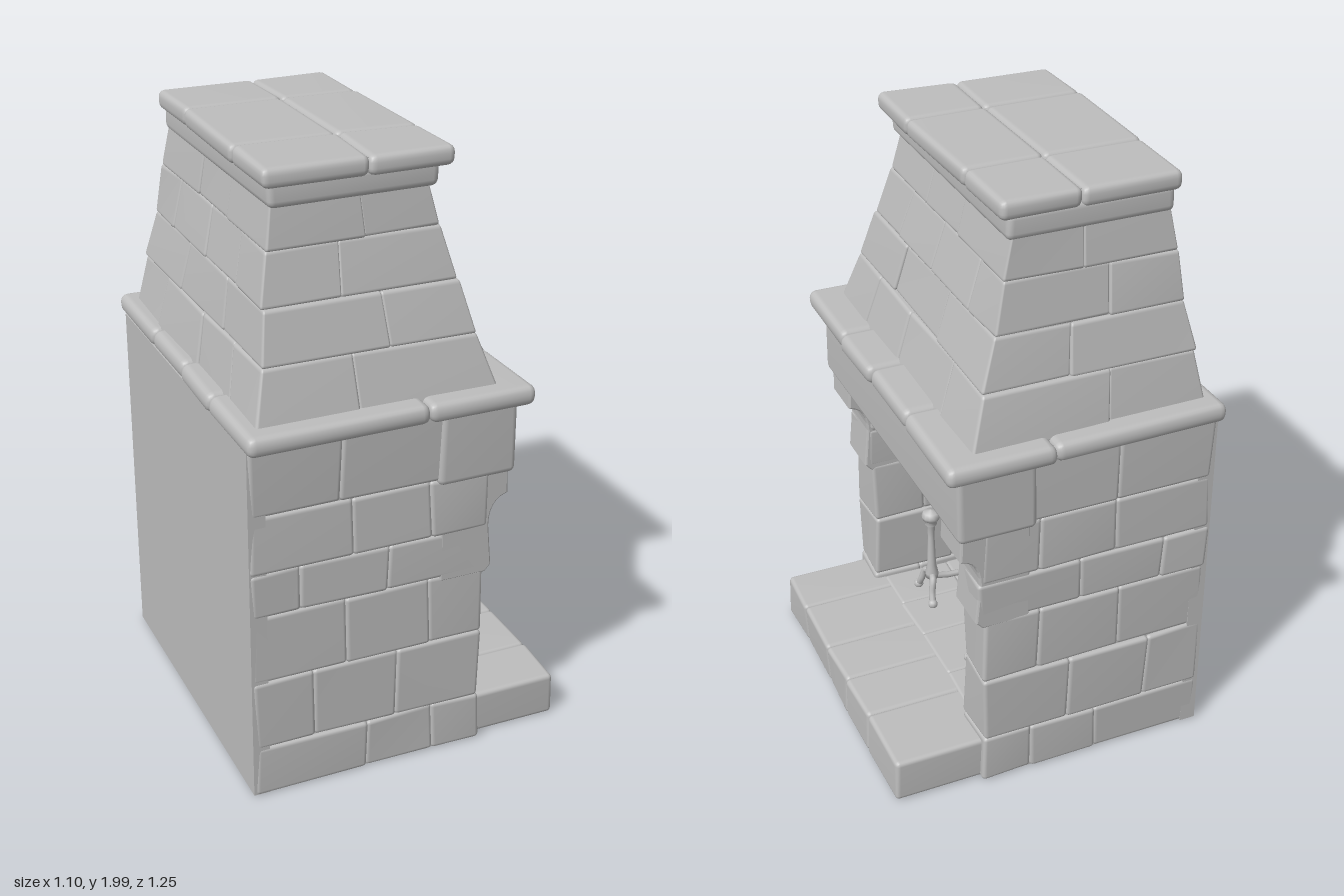
import * as THREE from 'three';
import { mergeVertices, mergeGeometries } from 'three/addons/utils/BufferGeometryUtils.js';
import { RoundedBoxGeometry } from 'three/addons/geometries/RoundedBoxGeometry.js';

export function createModel() {
  const root = new THREE.Group();
  root.name = 'fireplace';
  const stone = new THREE.MeshStandardMaterial({ color: 0xbdbdbd });
  stone.name = 'grey stone';

  let seed = 7;
  const rnd = () => (seed = (seed * 16807) % 2147483647) / 2147483647;
  const lerp = THREE.MathUtils.lerp;

  function add(name, geometry, parent = root) {
    const mesh = new THREE.Mesh(geometry, stone);
    mesh.name = name;
    parent.add(mesh);
    return mesh;
  }

  // Gentle chiselled unevenness, then welded smooth normals
  function roughen(geo, amount, warp) {
    geo.deleteAttribute('normal');
    geo.deleteAttribute('uv');
    geo = mergeVertices(geo, 1e-4);
    const p = geo.attributes.position;
    for (let i = 0; i < p.count; i++) {
      let x = p.getX(i), y = p.getY(i), z = p.getZ(i);
      if (warp) [x, y, z] = warp(x, y, z);
      p.setXYZ(i,
        x + amount * Math.sin(17 * y + 23 * z + 5 * x),
        y + amount * 0.5 * Math.sin(19 * x + 13 * z),
        z + amount * Math.sin(21 * x + 15 * y + 2 * z));
    }
    geo.computeVertexNormals();
    return geo;
  }

  // A rounded stone between two corners
  function block(x0, x1, y0, y1, z0, z1, r, amount = 0.005, warp) {
    const w = x1 - x0, h = y1 - y0, d = z1 - z0;
    const g = new RoundedBoxGeometry(w, h, d, 2, Math.min(r, w / 2.1, h / 2.1, d / 2.1));
    g.translate((x0 + x1) / 2, (y0 + y1) / 2, (z0 + z1) / 2);
    return roughen(g, amount, warp);
  }

  // Stones filling the grid cells between the given cuts
  function masonry(name, xs, ys, zs, r, vary = 0.006, warp) {
    const parts = [];
    for (let i = 0; i + 1 < xs.length; i++)
      for (let j = 0; j + 1 < ys.length; j++)
        for (let k = 0; k + 1 < zs.length; k++) {
          const a = (rnd() - 0.5) * vary, b = (rnd() - 0.5) * vary;
          parts.push(block(
            xs[i] - (i === 0 ? a : 0.002), xs[i + 1] + (i + 2 === xs.length ? b : 0.002),
            ys[j] - 0.001, ys[j + 1] + 0.001,
            zs[k] - (k === 0 ? a : 0.002), zs[k + 1] + (k + 2 === zs.length ? b : 0.002),
            r, 0.004, warp));
        }
    return add(name, mergeGeometries(parts));
  }

  // Plain slab used for the flat back, floor and hidden cores
  function slab(name, x0, x1, y0, y1, z0, z1) {
    const g = new THREE.BoxGeometry(x1 - x0, y1 - y0, z1 - z0);
    g.translate((x0 + x1) / 2, (y0 + y1) / 2, (z0 + z1) / 2);
    return add(name, g);
  }

  // Back wall, base and firebox ceiling
  slab('backWall', -0.535, -0.48, 0.01, 1.21, -0.575, 0.57);
  slab('firebase', -0.52, 0.24, 0.01, 0.155, -0.56, 0.555);
  slab('fireboxCeiling', -0.52, 0.25, 0.98, 1.21, -0.56, 0.55);

  // Side walls in staggered courses
  const rows = [0.01, 0.18, 0.42, 0.65, 0.8, 0.99];
  const cuts = [[-0.15, 0.08], [-0.33, -0.05], [-0.22, 0.06], [-0.37, -0.08], [-0.2, 0.06]];
  for (const [label, z0, z1] of [['left', 0.4, 0.572], ['right', -0.578, -0.41]]) {
    for (let j = 0; j < 5; j++) {
      const front = [0.25, 0.245, 0.25, 0.262, 0.252][j];
      masonry(label === 'left' ? 'leftWallCourse' : 'rightWallCourse',
        [-0.528, ...cuts[j], front], [rows[j], rows[j + 1]], [z0, z1], 0.014);
    }
    slab(label + 'WallCore', -0.52, 0.235, 0.01, 1, z0 + 0.012, z1 - 0.012);

    // Carved bracket under the lintel
    const s = new THREE.Shape();
    s.moveTo(0.1, 0.99);
    s.lineTo(0.315, 0.985);
    s.lineTo(0.318, 0.905);
    s.quadraticCurveTo(0.255, 0.89, 0.255, 0.8);
    s.lineTo(0.268, 0.66);
    s.lineTo(0.25, 0.64);
    s.lineTo(0.1, 0.64);
    const g = new THREE.ExtrudeGeometry(s, {
      depth: z1 - z0 - 0.024, bevelSize: 0.006, bevelThickness: 0.01, bevelSegments: 2, curveSegments: 6,
    });
    g.translate(0, 0, z0 + 0.012);
    add(label + 'Bracket', g);
  }

  // Top course and front lintel
  masonry('topCourse', [-0.528, -0.2, 0.1], [0.99, 1.21], [-0.58, -0.41], 0.014);
  masonry('topCourse', [-0.528, -0.24, 0.1], [0.99, 1.21], [0.4, 0.575], 0.014);
  add('lintel', block(0.08, 0.338, 0.975, 1.22, -0.595, 0.588, 0.02, 0.004));

  // Hearth stones and firebox floor
  masonry('hearth', [0.2, 0.545], [0.01, 0.16], [-0.55, -0.29, -0.09, 0.1, 0.34, 0.545], 0.016, 0.006);
  masonry('fireboxFloor', [-0.48, -0.25, -0.02, 0.22], [0.1, 0.165], [-0.41, -0.2, 0.03, 0.22, 0.4], 0.012);

  // Mantel ledge
  masonry('mantelLedge', [-0.545, 0.03, 0.385], [1.208, 1.27], [-0.627, -0.27, 0.02, 0.28, 0.618], 0.026, 0.014);
  slab('mantelCore', -0.51, 0.35, 1.2, 1.255, -0.59, 0.585);

  // Tapering hood: unit square footprint stretched by height
  const profile = [ // y, x0, x1, z0, z1
    [1.25, -0.505, 0.285, -0.565, 0.555],
    [1.5, -0.452, 0.203, -0.51, 0.487],
    [1.75, -0.41, 0.137, -0.47, 0.436],
    [1.9, -0.392, 0.108, -0.455, 0.412],
  ];
  const hoodWarp = (inset) => (u, y, v) => {
    let i = 0;
    while (i < 2 && y > profile[i + 1][0]) i++;
    const a = profile[i], b = profile[i + 1], t = (y - a[0]) / (b[0] - a[0]);
    const f = (n) => lerp(a[n], b[n], t);
    return [lerp(f(1) + inset, f(2) - inset, u), y, lerp(f(3) + inset, f(4) - inset, v)];
  };
  const hoodRows = [1.25, 1.43, 1.59, 1.75, 1.9];
  const hoodCuts = [
    [[0.42], [0.22, 0.55, 0.8]], [[0.6], [0.35, 0.7]], [[0.4], [0.2, 0.5, 0.78]], [[0.55], [0.38, 0.66]],
  ];
  hoodCuts.forEach(([cx, cz], j) => masonry('hoodCourse', [0, ...cx, 1],
    [hoodRows[j], hoodRows[j + 1]], [0, ...cz, 1], 0.012, 0.012, hoodWarp(0)));
  const core = new THREE.BoxGeometry(1, 0.65, 1, 1, 8, 1).translate(0.5, 1.575, 0.5);
  add('hoodCore', roughen(core, 0, hoodWarp(0.012)));

  // Collar and cap stones
  add('collar', block(-0.405, 0.132, 1.87, 1.955, -0.468, 0.435, 0.022, 0.003));
  masonry('cap', [-0.425, -0.1, 0.162], [1.938, 1.997], [-0.478, -0.215, 0.21, 0.465], 0.022, 0.012);
  slab('capCore', -0.4, 0.14, 1.945, 1.988, -0.45, 0.44);

  // Pair of andirons
  const V = (x, y, z) => new THREE.Vector3(x, y, z);
  const tube = (pts, r) => new THREE.TubeGeometry(new THREE.CatmullRomCurve3(pts), 14, r, 8);
  for (const z of [-0.23, 0.23]) {
    const iron = new THREE.Group();
    iron.name = 'andiron';
    iron.position.set(0.1, 0, z);
    root.add(iron);
    const post = [[0, 0.24], [0.022, 0.245], [0.024, 0.265], [0.016, 0.3], [0.012, 0.42], [0.014, 0.465],
      [0.022, 0.475], [0.015, 0.484], [0.029, 0.495], [0.033, 0.508], [0.027, 0.524], [0, 0.534]];
    add('post', new THREE.LatheGeometry(post.map(([r, y]) => new THREE.Vector2(r, y)), 12), iron);
    for (const s of [-1, 1]) {
      add('frontLeg', tube([V(0, 0.26, 0), V(0.01, 0.255, s * 0.035), V(0.02, 0.21, s * 0.05),
        V(0.025, 0.175, s * 0.068)], 0.012), iron);
      add('foot', new THREE.SphereGeometry(0.017, 10, 8).translate(0.025, 0.176, s * 0.068), iron);
    }
    add('logBar', tube([V(0, 0.25, 0), V(-0.06, 0.235, 0), V(-0.35, 0.23, 0), V(-0.39, 0.21, 0),
      V(-0.4, 0.165, 0)], 0.011), iron);
  }
  return root;
}
